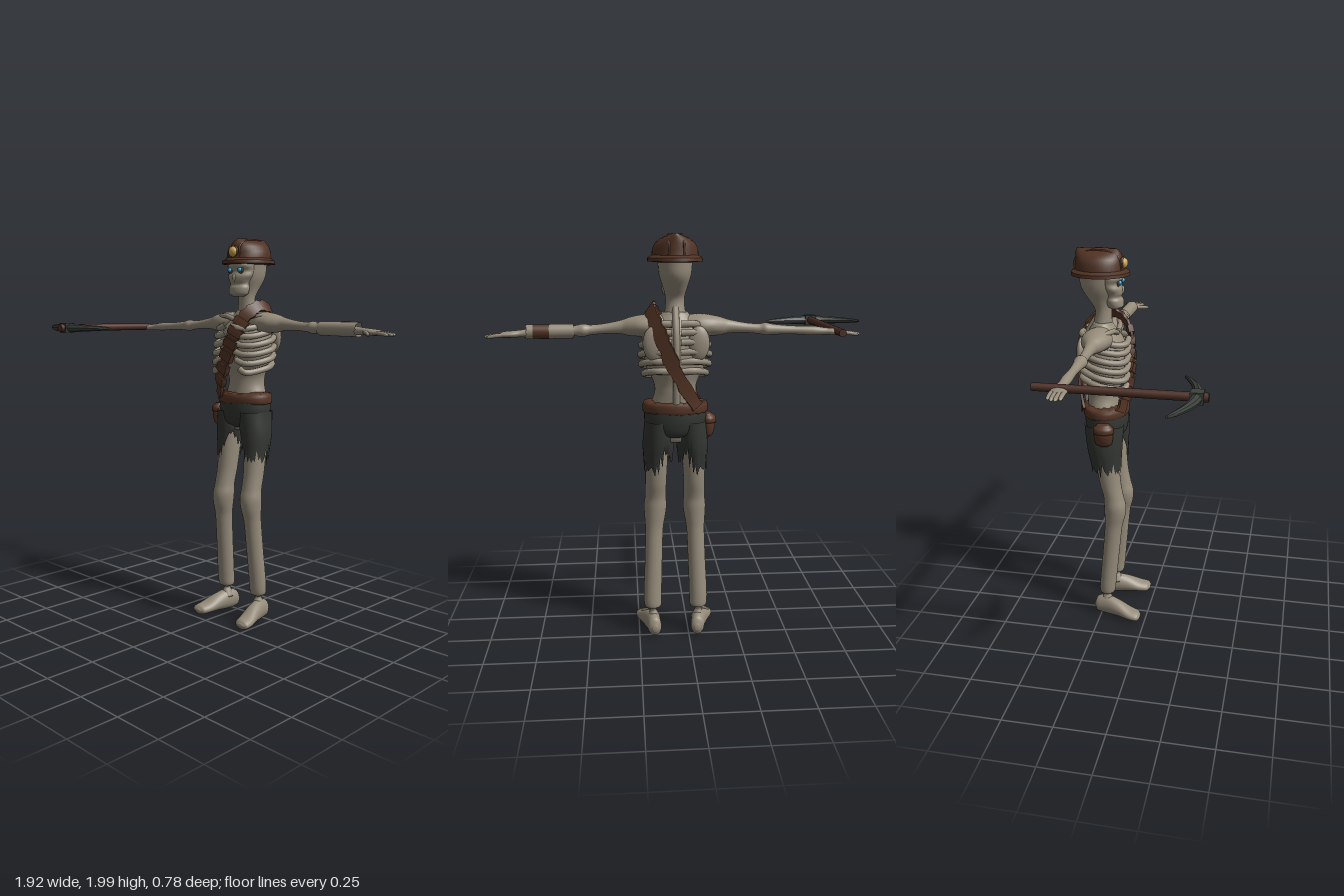
import * as THREE from 'three';
import { toCreasedNormals } from 'three/addons/utils/BufferGeometryUtils.js';

const V = (x, y, z) => new THREE.Vector3(x, y, z);
const paint = (name, color, side = THREE.FrontSide) => {
  const m = new THREE.MeshStandardMaterial({ color, side });
  m.name = name;
  return m;
};

// Small seeded generator for ragged cloth and leather
let seed = 7;
const rnd = () => (seed = (seed * 16807) % 2147483647) / 2147483647;

// Join rings of points into a surface, optionally capped at both ends
function skin(rings, caps = true) {
  const n = rings[0].length, pos = [], idx = [];
  rings.forEach(r => r.forEach(p => pos.push(p.x, p.y, p.z)));
  for (let i = 0; i < rings.length - 1; i++)
    for (let j = 0; j < n; j++) {
      const a = i * n + j, b = i * n + (j + 1) % n;
      idx.push(a, a + n, b, b, a + n, b + n);
    }
  if (caps) [0, rings.length - 1].forEach((i, end) => {
    const c = rings[i].reduce((s, p) => s.add(p), V(0, 0, 0)).divideScalar(n);
    const k = pos.length / 3;
    pos.push(c.x, c.y, c.z);
    for (let j = 0; j < n; j++) {
      const a = i * n + j, b = i * n + (j + 1) % n;
      if (end) idx.push(k, b, a); else idx.push(k, a, b);
    }
  });
  const g = new THREE.BufferGeometry();
  g.setAttribute('position', new THREE.Float32BufferAttribute(pos, 3));
  g.setIndex(idx);
  g.computeVertexNormals();
  return g;
}

// Elliptical loft. Section: [along axis, centre u, centre v, radius u, radius v]
// axis y: u = x, v = z;  axis x: u = z, v = y;  axis z: u = y, v = x
function loft(secs, { axis = 'y', n = 24, per = 5, caps = true, smooth = true, warp } = {}) {
  const mid = new THREE.CatmullRomCurve3(secs.map(s => V(s[0], s[1], s[2])));
  const rad = new THREE.SplineCurve(secs.map(s => new THREE.Vector2(s[3], s[4])));
  const steps = (secs.length - 1) * (smooth ? per : 1), rings = [];
  for (let i = 0; i <= steps; i++) {
    const k = i / steps, c = mid.getPoint(k), r = rad.getPoint(k), ring = [];
    for (let j = 0; j < n; j++) {
      const t = j / n * Math.PI * 2;
      const u = c.y + Math.cos(t) * r.x, v = c.z + Math.sin(t) * r.y;
      const p = axis === 'y' ? V(u, c.x, v) : axis === 'x' ? V(c.x, v, u) : V(v, u, c.x);
      if (warp) warp(p, k, j, t);
      ring.push(p);
    }
    rings.push(ring);
  }
  return skin(rings, caps);
}

function mirrorX(geo) {
  const g = geo.clone().scale(-1, 1, 1), a = g.index.array;
  for (let i = 0; i < a.length; i += 3) [a[i + 1], a[i + 2]] = [a[i + 2], a[i + 1]];
  return g;
}
const tube = (pts, r, seg = 20) => new THREE.TubeGeometry(new THREE.CatmullRomCurve3(pts), seg, r, 8);
const ball = (r, x, y, z, sx = 1, sy = 1, sz = 1) =>
  new THREE.SphereGeometry(r, 20, 14).scale(sx, sy, sz).translate(x, y, z);

// Leather band along part of a path, facing away from the torso axis
function band(path, t0, t1, width, thick, ragged, steps) {
  const rings = [], core = V(0, 1.42, -0.235);
  for (let i = 0; i <= steps; i++) {
    const t = t0 + (t1 - t0) * i / steps, p = path.getPoint(t), T = path.getTangent(t);
    const N = p.clone().sub(core).setY((p.y - core.y) * 0.35);
    N.addScaledVector(T, -N.dot(T)).normalize();
    const W = T.clone().cross(N), a = width / 2 - rnd() * ragged, b = width / 2 - rnd() * ragged;
    rings.push([[a, -thick], [a, thick], [-b, thick], [-b, -thick]].map(([w, h]) =>
      p.clone().addScaledVector(W, w).addScaledVector(N, h)));
  }
  return toCreasedNormals(skin(rings), 0.7);
}

export function createModel() {
  const bone = paint('bone', 0x968c7b), boneThin = paint('boneWrap', 0x968c7b, THREE.DoubleSide);
  const cloth = paint('darkCloth', 0x343733, THREE.DoubleSide);
  const leather = paint('leather', 0x553525, THREE.DoubleSide), hatBrown = paint('hatBrown', 0x503223);
  const wood = paint('wood', 0x4d3026), metal = paint('darkMetal', 0x3d423d);
  const gold = paint('gold', 0xc8a24c), blue = paint('eyeBlue', 0x35a3d4), shade = paint('socketShade', 0x5c5448);

  const root = new THREE.Group();
  const body = new THREE.Group();
  body.name = 'body';
  body.position.x = 0.065;
  root.add(body);
  const add = (name, geo, mat, parent = body) => {
    const m = new THREE.Mesh(geo, mat);
    m.name = name;
    parent.add(m);
  };
  const both = (name, geo, mat) => {
    add(name + 'Left', geo, mat);
    add(name + 'Right', mirrorX(geo), mat);
  };

  // Torso, spine and ribs
  add('torso', loft([[1.02, 0, -.23, .08, .06], [1.12, 0, -.23, .12, .085], [1.2, 0, -.235, .118, .085],
    [1.26, 0, -.24, .1, .085], [1.31, 0, -.24, .105, .088], [1.38, 0, -.235, .138, .108], [1.46, 0, -.23, .15, .115],
    [1.54, 0, -.235, .14, .1], [1.6, 0, -.24, .095, .068], [1.64, 0, -.24, .06, .045]], { n: 32 }), bone);
  add('spine', tube([V(0, 1.2, -.325), V(0, 1.4, -.345), V(0, 1.55, -.33), V(0, 1.66, -.27)], .016), bone);
  add('sternum', ball(.03, 0, 1.5, -.115, .8, 2.2, .6), bone);
  [[1.56, .125, .02], [1.52, .145, .02], [1.475, .158, .025], [1.43, .163, .03], [1.385, .16, .05], [1.34, .148, .075]]
    .forEach(([y, w, end], i) => both('rib' + (i + 1), tube([V(.02, y + .03, -.335), V(w * .65, y + .03, -.325),
      V(w, y + .01, -.24), V(w * .85, y - .01, -.15), V(w * .5 + end * .4, y - .012, -.108), V(end, y + .005, -.104)],
    .0165, 28), bone));
  both('collarbone', tube([V(.015, 1.59, -.165), V(.08, 1.61, -.17), V(.17, 1.605, -.21)], .014), bone);
  both('shoulderBlade', ball(.06, .105, 1.5, -.325, .85, 1.35, .4), bone);

  // Skull and face
  add('skullAndNeck', loft([[1.58, 0, -.245, .07, .05], [1.64, 0, -.238, .05, .045], [1.7, 0, -.235, .045, .042],
    [1.745, 0, -.245, .055, .06], [1.8, 0, -.25, .073, .092], [1.85, 0, -.25, .08, .102],
    [1.91, 0, -.25, .08, .1], [1.95, 0, -.25, .04, .06]]), bone);
  add('faceAndJaw', loft([[1.708, 0, -.172, .035, .02], [1.72, 0, -.173, .053, .04], [1.75, 0, -.177, .06, .043],
    [1.768, 0, -.18, .054, .038], [1.785, 0, -.18, .058, .046], [1.81, 0, -.185, .072, .05],
    [1.835, 0, -.195, .073, .049], [1.862, 0, -.19, .077, .058], [1.9, 0, -.21, .07, .06]]), bone);
  add('nose', ball(.014, 0, 1.8, -.137, .8, 1.5, .7), bone);
  both('eyeSocket', ball(.02, .034, 1.838, -.15, 1, .85, .3), shade);
  both('eye', ball(.0115, .034, 1.84, -.143), blue);

  // Helmet with comb and lamp
  add('helmet', toCreasedNormals(loft([[1.868, 0, -.247, .09, .1], [1.872, 0, -.247, .13, .146], [1.888, 0, -.247, .128, .144],
    [1.9, 0, -.249, .109, .122], [1.93, 0, -.25, .106, .118], [1.955, 0, -.252, .093, .116],
    [1.975, 0, -.255, .068, .112], [1.989, 0, -.26, .036, .107], [1.998, 0, -.263, .014, .098]],
  { n: 40, smooth: false }), 0.7), hatBrown);
  both('helmetRidge', tube([V(.035, 1.9, -.135), V(.034, 1.955, -.143), V(.03, 1.986, -.19), V(.03, 1.988, -.3),
    V(.034, 1.955, -.36), V(.035, 1.9, -.366)], .005, 30), hatBrown);
  add('lampMount', ball(.031, 0, 1.93, -.136, 1, 1, .4), hatBrown);
  add('lamp', ball(.026, 0, 1.93, -.13, 1, 1, .8), gold);

  // Arms and hands
  both('arm', loft([[.03, -.24, 1.59, .05, .035], [.11, -.24, 1.575, .075, .056], [.17, -.24, 1.575, .07, .05],
    [.215, -.24, 1.572, .05, .043], [.25, -.24, 1.57, .033, .033], [.33, -.24, 1.563, .023, .024],
    [.4, -.24, 1.557, .024, .024], [.43, -.24, 1.556, .033, .03], [.465, -.24, 1.554, .027, .025],
    [.56, -.24, 1.55, .02, .02], [.66, -.24, 1.546, .024, .022], [.72, -.24, 1.543, .022, .017],
    [.76, -.238, 1.54, .036, .016], [.8, -.236, 1.538, .038, .014], [.825, -.236, 1.536, .03, .008]],
  { axis: 'x' }), bone);
  for (let f = 0; f < 4; f++) {
    const z = -.263 + f * .018, tip = [.875, .889, .889, .875][f];
    both('finger' + (f + 1), loft([[.79, z, 1.538, .009, .009], [.83, z, 1.536, .0105, .01],
      [tip - .01, z, 1.53, .009, .008], [tip, z, 1.528, .003, .003]], { axis: 'x', n: 10 }), bone);
  }
  add('thumbLeft', loft([[.735, -.225, 1.54, .012, .012], [.765, -.2, 1.535, .014, .012],
    [.79, -.175, 1.53, .012, .01], [.803, -.16, 1.527, .004, .004]], { axis: 'x', n: 10 }), bone);

  // Forearm wrap on the left arm with leather patch
  add('forearmWrap', loft([[.472, -.24, 1.552, .031, .033], [.58, -.24, 1.551, .033, .034], [.695, -.24, 1.55, .034, .034]],
    { axis: 'x', caps: false, warp: (p, k) => { if (k === 0 || k === 1) p.x += (rnd() - .5) * .012; } }), boneThin);
  add('wrapPatch', new THREE.CylinderGeometry(.036, .036, .075, 16, 1, true, Math.PI * .6, Math.PI * .7)
    .rotateZ(Math.PI / 2).translate(.625, 1.551, -.24), leather);

  // Legs and feet
  both('leg', loft([[.135, .115, -.215, .018, .018], [.15, .115, -.215, .041, .04], [.2, .116, -.211, .045, .044],
    [.4, .109, -.192, .044, .045], [.55, .104, -.178, .045, .047], [.62, .1, -.17, .053, .056],
    [.67, .098, -.17, .057, .058], [.72, .097, -.177, .053, .053], [.8, .095, -.194, .053, .056],
    [.95, .09, -.21, .055, .062], [1.1, .08, -.22, .05, .06]]), bone);
  both('ankle', loft([[.08, .113, -.215, .035, .035], [.115, .114, -.217, .021, .024], [.13, .115, -.217, .016, .02],
    [.155, .115, -.217, .028, .03]], { n: 16 }), bone);
  both('foot', loft([[-.29, .05, .106, .014, .012], [-.275, .055, .108, .044, .032], [-.22, .06, .116, .056, .038],
    [-.15, .052, .132, .046, .044], [-.085, .036, .148, .031, .049], [-.04, .03, .156, .024, .042],
    [-.025, .03, .158, .008, .02]], { axis: 'z' }), bone);

  // Torn shorts
  add('shortsSeat', loft([[1.035, 0, -.225, .05, .06], [1.06, 0, -.225, .125, .095], [1.12, 0, -.226, .149, .11],
    [1.19, 0, -.228, .148, .11]], { n: 36 }), cloth);
  const hem = Array.from({ length: 48 }, (_, j) => (j % 2 ? .015 : -.02) + (rnd() - .5) * .06);
  both('shortsLeg', loft([[.885, .084, -.212, .07, .076], [1.0, .082, -.222, .077, .092], [1.12, .079, -.225, .07, .102]],
    { n: 48, per: 8, caps: false, warp: (p, k, j, t) => {
      const tear = .11 * Math.max(0, Math.cos(t - 2.4)) ** 4 + .07 * Math.max(0, Math.cos(t - 4.1)) ** 6;
      p.y += (1 - k) ** 2 * (hem[j] + tear);
    } }), cloth);

  // Belt and pouch
  const fray = Array.from({ length: 40 }, () => (rnd() - .5) * .02);
  add('belt', loft([[1.162, 0, -.228, .145, .106], [1.165, 0, -.228, .156, .115], [1.19, 0, -.228, .158, .117],
    [1.213, 0, -.23, .15, .112], [1.218, 0, -.23, .11, .085]],
  { n: 40, per: 2, warp: (p, k, j) => { p.y += (k - .5) * fray[j]; } }), leather);
  add('pouch', loft([[1.03, -.157, -.21, .012, .02], [1.045, -.157, -.21, .028, .042], [1.09, -.16, -.21, .036, .05],
    [1.125, -.16, -.21, .032, .046], [1.14, -.158, -.21, .02, .03]]), leather);
  add('pouchFlap', loft([[1.105, -.162, -.21, .039, .053], [1.13, -.161, -.21, .038, .051],
    [1.15, -.157, -.21, .022, .032]]), leather);

  // Shoulder strap across chest and back, with thicker loops in front
  const path = new THREE.CatmullRomCurve3([V(-.1, 1.2, -.135), V(-.05, 1.32, -.105), V(.01, 1.44, -.092),
    V(.06, 1.55, -.105), V(.098, 1.63, -.15), V(.115, 1.658, -.21), V(.115, 1.645, -.28), V(.085, 1.57, -.345),
    V(.04, 1.45, -.367), V(-.03, 1.31, -.355), V(-.1, 1.2, -.325)]);
  add('strap', band(path, 0, 1, .075, .007, .012, 70), leather);
  for (let i = 0; i < 6; i++)
    add('strapLoop' + (i + 1), band(path, .05 + i * .053, .085 + i * .053, .083, .014, .004, 3), leather);

  // Pickaxe held in the right hand
  const pick = new THREE.Group();
  pick.name = 'pickaxe';
  pick.position.set(-.71, 1.545, 0);
  root.add(pick);
  add('handle', new THREE.CylinderGeometry(.02, .018, .75, 16).rotateX(Math.PI / 2).translate(0, 0, .015), wood, pick);
  const head = [];
  for (let i = -6; i <= 6; i++) {
    const s = i / 6, w = 1 - Math.abs(s);
    head.push([s * .252, .342 - .083 * s * s, 0, .006 + .02 * w ** .7, .007 + .018 * w ** .7]);
  }
  add('pickHead', toCreasedNormals(loft(head, { axis: 'x', n: 8, per: 2 }), 0.6), metal, pick);
  add('pickSocket', new THREE.BoxGeometry(.058, .052, .056).translate(0, 0, .342), metal, pick);

  return root;
}
